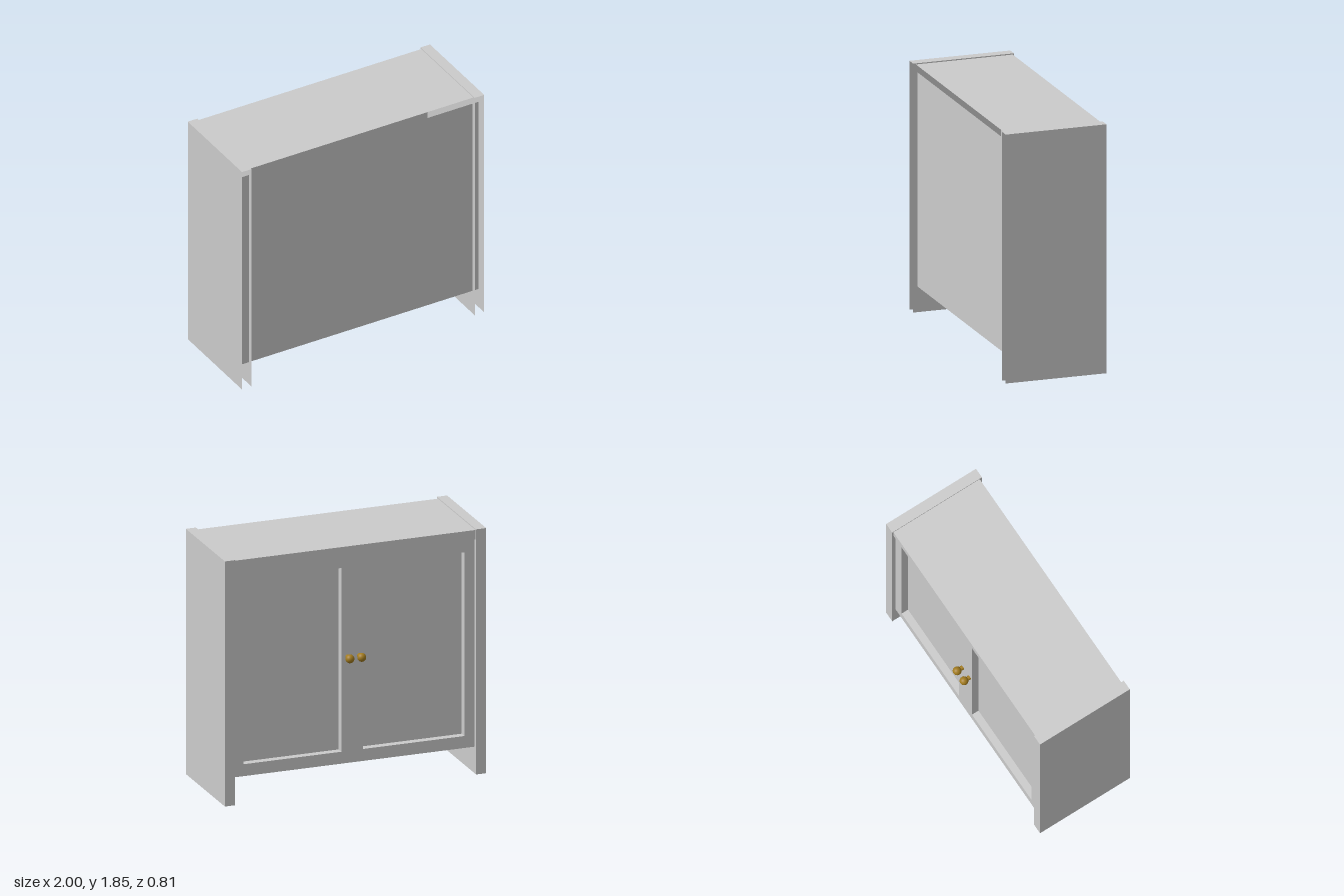
import * as THREE from 'three';

const grey = new THREE.MeshStandardMaterial({ color: 0xcccccc, flatShading: true, side: THREE.DoubleSide });
const brass = new THREE.MeshStandardMaterial({ color: 0xa37c1f });

// Box (or a flat sheet, when one extent is zero) given by its min and max on each axis
function slab(name, [x0, x1], [y0, y1], [z0, z1]) {
  const w = x1 - x0, h = y1 - y0, d = z1 - z0;
  let geo;
  if (w === 0) geo = new THREE.PlaneGeometry(d, h).rotateY(Math.PI / 2);
  else if (h === 0) geo = new THREE.PlaneGeometry(w, d).rotateX(-Math.PI / 2);
  else if (d === 0) geo = new THREE.PlaneGeometry(w, h);
  else geo = new THREE.BoxGeometry(w, h, d);
  const mesh = new THREE.Mesh(geo, grey);
  mesh.name = name;
  mesh.position.set((x0 + x1) / 2, (y0 + y1) / 2, (z0 + z1) / 2);
  return mesh;
}

function rectangle(target, x0, x1, y0, y1) {
  target.moveTo(x0, y0).lineTo(x1, y0).lineTo(x1, y1).lineTo(x0, y1).closePath();
  return target;
}

export function createModel() {
  const model = new THREE.Group();
  model.name = 'cabinet';

  // Hollow side walls: two skins, door-side stile and top cap, open behind and below
  for (const s of [-1, 1]) {
    const wall = new THREE.Group();
    wall.name = s > 0 ? 'leftSideWall' : 'rightSideWall';
    const outer = s, inner = s * 0.922;
    const span = [Math.min(outer, inner), Math.max(outer, inner)];
    wall.add(
      slab('outerSkin', [outer, outer], [0, 1.848], [-0.36, 0.405]),
      slab('innerSkin', [inner, inner], [0, 1.848], [-0.36, 0.405]),
      slab('stile', span, [0, 1.848], [-0.36, -0.36]),
      slab('topCap', span, [1.848, 1.848], [-0.36, 0.405]),
    );
    model.add(wall);
  }

  // Top sheet, apron under it and the plain panel on the far side of the doors
  model.add(
    slab('top', [-0.96, 0.96], [1.84, 1.84], [-0.35, 0.385]),
    slab('apron', [-0.96, 0.96], [1.77, 1.84], [-0.35, -0.32]),
    slab('plainPanel', [-0.985, 0.972], [0.19, 1.78], [0.372, 0.372]),
  );

  // Door frame with two openings
  const openings = [[0.096, 0.846], [-0.845, -0.07]];
  const [low, high] = [0.29, 1.675];
  const outline = rectangle(new THREE.Shape(), -0.925, 0.925, 0.2, 1.785);
  for (const [x0, x1] of openings) outline.holes.push(rectangle(new THREE.Path(), x0, x1, low, high));
  const frame = new THREE.Mesh(new THREE.ExtrudeGeometry(outline, { depth: 0.07, bevelEnabled: false }), grey);
  frame.name = 'doorFrame';
  frame.position.z = -0.33;
  model.add(frame);

  // Recessed door panels
  for (const [x0, x1] of openings) model.add(slab('doorPanel', [x0, x1], [low, high], [-0.275, -0.262]));

  // Round knobs on short stems
  for (const x of [-0.04, 0.05]) {
    const knob = new THREE.Group();
    knob.name = 'knob';
    const ball = new THREE.Mesh(new THREE.SphereGeometry(0.032, 24, 16), brass);
    ball.name = 'knobBall';
    const stem = new THREE.Mesh(new THREE.CylinderGeometry(0.014, 0.018, 0.05, 16).rotateX(Math.PI / 2), brass);
    stem.name = 'knobStem';
    stem.rotation.y = Math.PI;
    stem.position.z = 0.03;
    knob.add(ball, stem);
    knob.position.set(x, 1, -0.378);
    model.add(knob);
  }

  return model;
}
